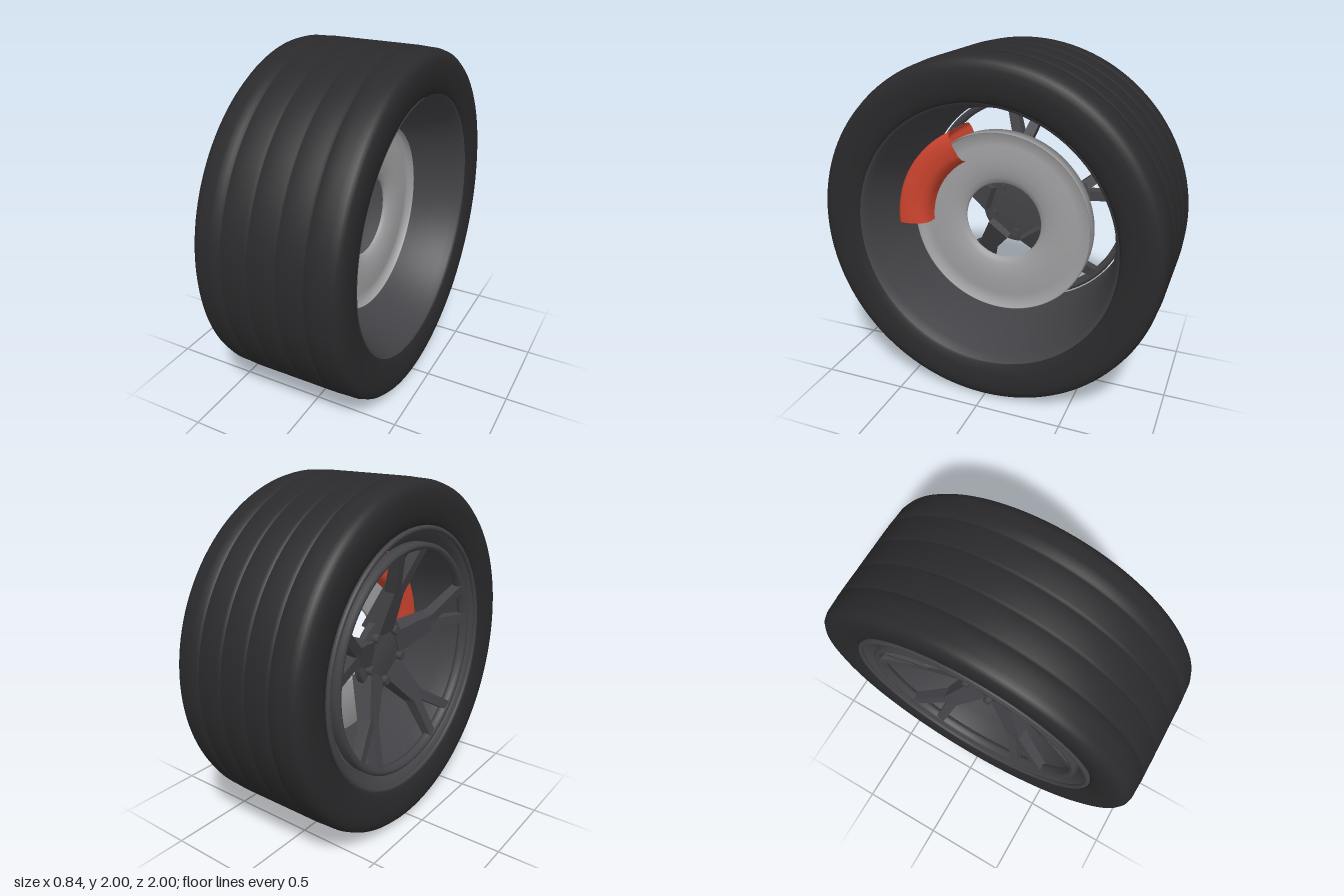
import * as THREE from 'three';
import { toCreasedNormals } from 'three/addons/utils/BufferGeometryUtils.js';

const paint = (color, side = THREE.FrontSide) => new THREE.MeshStandardMaterial({ color, side });
const rubber = paint(0x2a2a2c);
const alloy = paint(0x434347);
const barrelAlloy = paint(0x434347, THREE.DoubleSide);
const steel = paint(0xa0a0a2, THREE.DoubleSide);
const red = paint(0xd0452f, THREE.DoubleSide);

// Revolve [radius, x] pairs around the axle (x axis)
function revolve(points, segments = 96, start = 0, sweep = Math.PI * 2) {
  const profile = points.map(([r, x]) => new THREE.Vector2(r, x));
  return new THREE.LatheGeometry(profile, segments, start, sweep).rotateZ(-Math.PI / 2);
}

// Point on the wheel: radius, angle from +z towards +y, and x
const polar = (r, a, x) => new THREE.Vector3(x, r * Math.sin(a), r * Math.cos(a));

// Tapered bar between two points, its depth lying along the axle
function bar(a, b, w0, w1, d0, d1) {
  const dir = b.clone().sub(a);
  const length = dir.length();
  const g = new THREE.BoxGeometry(1, length, 1);
  const p = g.attributes.position;
  for (let i = 0; i < p.count; i++) {
    const t = p.getY(i) / length + 0.5;
    p.setX(i, p.getX(i) * THREE.MathUtils.lerp(w0, w1, t));
    p.setZ(i, p.getZ(i) * THREE.MathUtils.lerp(d0, d1, t));
  }
  dir.normalize();
  const side = new THREE.Vector3().crossVectors(dir, new THREE.Vector3(1, 0, 0)).normalize();
  const depth = new THREE.Vector3().crossVectors(side, dir);
  g.applyMatrix4(new THREE.Matrix4().makeBasis(side, dir, depth));
  g.translate((a.x + b.x) / 2, (a.y + b.y) / 2, (a.z + b.z) / 2);
  g.computeVertexNormals();
  return g;
}

export function createModel() {
  const model = new THREE.Group();
  model.name = 'wheel';
  const wheel = new THREE.Group();
  wheel.name = 'wheelAssembly';
  wheel.position.y = 1;
  model.add(wheel);

  const add = (name, geometry, material, parent = wheel) => {
    const mesh = new THREE.Mesh(geometry, material);
    mesh.name = name;
    parent.add(mesh);
    return mesh;
  };

  // Tyre: bulging sidewalls and a softly shaded tread with four grooves
  const shoulder = [[0.75, 0.36], [0.755, 0.385], [0.775, 0.4], [0.82, 0.412], [0.88, 0.42],
    [0.93, 0.419], [0.965, 0.408], [0.985, 0.388], [0.995, 0.355], [0.997, 0.3]];
  const tyre = shoulder.map(([r, x]) => [r, -x]);
  for (const x of [-0.235, -0.08, 0.08, 0.235]) {
    tyre.push([1, x - 0.013], [0.98, x - 0.009], [0.98, x + 0.009], [1, x + 0.013]);
  }
  tyre.push(...shoulder.slice().reverse(), [0.75, -0.36]);
  add('tyre', revolve(tyre, 128), rubber);

  // Rim barrel: open tube flaring to a bead at both ends
  add('rimBarrel', revolve([[0.758, -0.395], [0.74, -0.395], [0.715, -0.38], [0.69, -0.355],
    [0.67, -0.32], [0.667, -0.2], [0.671, 0], [0.685, 0.14], [0.705, 0.25],
    [0.73, 0.34], [0.743, 0.385], [0.758, 0.395]]), barrelAlloy);

  // Outer ring carrying the spoke tips, and the lip around it
  add('rimRing', revolve([[0.62, -0.35], [0.622, -0.375], [0.635, -0.39], [0.65, -0.392],
    [0.664, -0.38], [0.664, -0.33], [0.645, -0.325], [0.625, -0.335], [0.62, -0.35]]), alloy);
  add('rimLip', new THREE.TorusGeometry(0.742, 0.015, 10, 96).rotateY(Math.PI / 2)
    .translate(-0.393, 0, 0), alloy);

  // Hub plate with a shallow cone in the middle
  add('hub', toCreasedNormals(revolve([[0, -0.215], [0.06, -0.205], [0.18, -0.2], [0.215, -0.19],
    [0.215, -0.15], [0.17, -0.14], [0, -0.155]], 48), 0.5), alloy);

  // Five forked spokes, with wheel nuts between them
  for (let i = 0; i < 5; i++) {
    const a = Math.PI / 2 + (i * Math.PI * 2) / 5;
    const spoke = new THREE.Group();
    spoke.name = 'spoke' + (i + 1);
    wheel.add(spoke);
    add('spokeStem', bar(polar(0.15, a, -0.155), polar(0.43, a, -0.275), 0.15, 0.095, 0.125, 0.075),
      alloy, spoke);
    for (const s of [-1, 1]) {
      add('spokeBranch', bar(polar(0.385, a + s * 0.04, -0.262), polar(0.645, a + s * 0.172, -0.36),
        0.062, 0.056, 0.072, 0.055), alloy, spoke);
    }
    const nut = add('wheelNut', new THREE.CylinderGeometry(0.026, 0.026, 0.11, 12), alloy);
    nut.rotation.z = Math.PI / 2;
    nut.position.copy(polar(0.155, a + Math.PI, -0.18));
  }

  // Brake disc: face rolling softly into the centre hole, raised outer edge
  add('brakeDisc', revolve([[0.235, 0.055], [0.3, 0.05], [0.54, 0.05], [0.54, 0.13], [0.536, 0.13],
    [0.53, 0.093], [0.46, 0.1], [0.38, 0.105], [0.32, 0.102], [0.27, 0.092],
    [0.24, 0.078], [0.23, 0.065], [0.235, 0.055]]), steel);

  // Brake caliper: rounded C-shaped shell straddling the disc
  add('brakeCaliper', revolve([[0.41, 0.01], [0.42, -0.035], [0.45, -0.05], [0.57, -0.05],
    [0.595, -0.035], [0.6, -0.01], [0.6, 0.2], [0.595, 0.23], [0.575, 0.247], [0.52, 0.25],
    [0.46, 0.24], [0.43, 0.22], [0.415, 0.19], [0.41, 0.14]], 32, -1.125, 1.175), red);

  return model;
}
